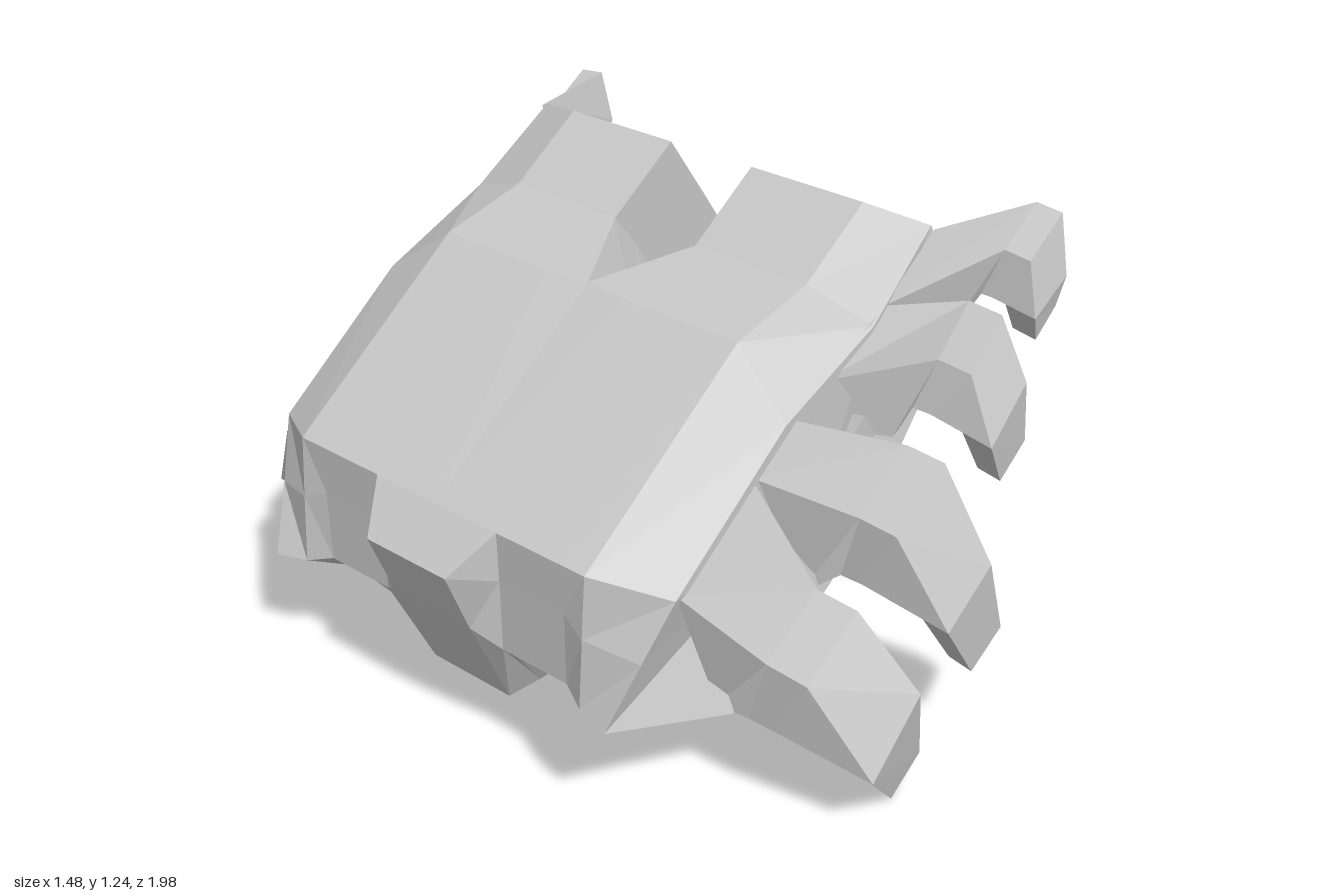
import * as THREE from 'three';

const grey = new THREE.MeshStandardMaterial({ color: 0xc8c8c8, flatShading: true });
grey.name = 'plain grey';

// Joins matching rings of points into a faceted skin and closes the last ring.
// side = -1 builds the mirror image across z = 0.
function loft(name, rings, side) {
  const pos = [];
  const same = (a, b) => a.every((v, i) => Math.abs(v - b[i]) < 1e-6);
  const face = (a, b, c) => {
    if (same(a, b) || same(b, c) || same(a, c)) return;
    for (const p of side > 0 ? [a, b, c] : [a, c, b]) pos.push(p[0], p[1], p[2] * side);
  };
  const n = rings[0].length;
  for (let r = 0; r + 1 < rings.length; r++) {
    const A = rings[r], B = rings[r + 1];
    for (let j = 0; j < n; j++) {
      const k = (j + 1) % n;
      face(A[j], A[k], B[j]);
      face(A[k], B[k], B[j]);
    }
  }
  const last = rings[rings.length - 1];
  const mid = [0, 1, 2].map(i => last.reduce((s, p) => s + p[i], 0) / n);
  last.forEach((p, j) => face(p, last[(j + 1) % n], mid));
  const geo = new THREE.BufferGeometry();
  geo.setAttribute('position', new THREE.Float32BufferAttribute(pos, 3));
  geo.computeVertexNormals();
  const mesh = new THREE.Mesh(geo, grey);
  mesh.name = name;
  return mesh;
}

// Side outline of the shell, from the low top edge down, along the belly and back over the top
const OUTLINE = [
  [-0.64, 0.69], [-0.635, 0.56], [-0.63, 0.37], [-0.48, 0.265], [-0.17, 0.32], [-0.06, 0.39], [0.06, 0.49],
  [0.22, 0.6], [0.42, 0.76], [0.59, 0.88], [0.475, 1.04], [0.33, 1.235], [0.12, 1.1], [-0.13, 1.05],
];
// A point may carry its own depth as a third number
const slice = (z, ...edits) => {
  const e = Object.assign({}, ...edits);
  return OUTLINE.map((p, i) => {
    const q = e[i] || p;
    return [q[0], q[1], q[2] ?? z];
  });
};

// Variations of the outline
const KEEL = { 1: [-0.74, 0.59], 2: [-0.67, 0.42], 3: [-0.55, 0.16], 4: [-0.2, 0.17], 5: [-0.1, 0.24], 6: [0, 0.36], 7: [0.13, 0.46] };
const KEEL_SIDE = { 3: [-0.51, 0.22], 4: [-0.18, 0.26], 5: [-0.08, 0.33], 6: [0.03, 0.44], 7: [0.18, 0.55] };
const NOTCH_FLOOR = { 8: [0.3, 0.58], 9: [0.33, 0.6], 10: [0.25, 0.68], 11: [0.15, 0.78], 12: [0.05, 0.88], 13: [-0.12, 1.052] };
const NOTCH_EDGE = { 8: [0.36, 0.68], 9: [0.4, 0.72], 10: [0.3, 0.86], 11: [0.2, 1.0] };
const SLOT_SIDE = { 8: [0.42, 0.77], 9: [0.45, 0.89] };
const SLOT_BACK = { 8: [0.45, 0.77], 9: [0.41, 0.85] };
const CORNER = { 1: [-0.65, 0.53], 2: [-0.66, 0.35], 3: [-0.44, 0.275] };
const FLANK = {
  0: [-0.54, 0.65], 1: [-0.605, 0.5, 0.58], 2: [-0.68, 0.34, 0.54], 3: [-0.38, 0.28, 0.66], 4: [-0.15, 0.37, 0.66],
  5: [-0.02, 0.45, 0.66], 6: [0.08, 0.54, 0.66], 7: [0.25, 0.66, 0.64], 8: [0.42, 0.8, 0.62], 9: [0.49, 0.93],
  10: [0.45, 1.06], 11: [0.39, 1.2, 0.6], 12: [0.15, 1.04], 13: [-0.17, 0.92],
};
const SHELL = [
  slice(0, KEEL, NOTCH_FLOOR),
  slice(0.125, KEEL, NOTCH_EDGE),
  slice(0.125, KEEL),
  slice(0.19, KEEL_SIDE),
  slice(0.235),
  slice(0.235, SLOT_SIDE),
  slice(0.305, SLOT_BACK),
  slice(0.385, SLOT_BACK),
  slice(0.45, SLOT_SIDE, CORNER),
  slice(0.45, CORNER),
  slice(0.62, FLANK),
];

// Legs: each entry holds a left and a right point (x, y); z lists the knee, shin, elbow and tip depths
const LEGS = [
  { root: [[-0.53, 0.655], [-0.28, 0.835]], base: [[-0.38, 0.285], [-0.19, 0.38]], knee: [[-0.37, 0.45], [-0.19, 0.555]],
    low: [[-0.37, 0.28], [-0.18, 0.46]], tip: [[-0.1, 0.0], [0.01, 0.07]], z: [0.74, 0.85, 0.99, 0.92] },
  { root: [[-0.28, 0.835], [-0.15, 0.925]], base: [[-0.08, 0.43], [0.13, 0.58]], knee: [[-0.04, 0.67], [0.14, 0.78]],
    low: [[-0.04, 0.5], [0.14, 0.62]], tip: [[0.18, 0.22], [0.3, 0.285]], z: [0.74, 0.84, 0.96, 0.94] },
  { root: [[-0.03, 0.97], [0.2, 1.07]], base: [[0.22, 0.66], [0.42, 0.82]], knee: [[0.34, 0.9], [0.455, 1.01]],
    low: [[0.31, 0.77], [0.455, 0.91]], tip: [[0.44, 0.58], [0.54, 0.65]], z: [0.68, 0.77, 0.84, 0.82] },
  { root: [[0.2, 1.07], [0.385, 1.195]], base: [[0.43, 0.86], [0.48, 0.94]], knee: [[0.58, 1.1], [0.71, 1.18]],
    low: [[0.56, 0.98], [0.71, 1.05]], tip: [[0.63, 0.87], [0.71, 0.93]], z: [0.69, 0.76, 0.79, 0.77] },
];

function legRings({ root, base, knee, low, tip, z }) {
  const mix = (a, b, t) => a.map((p, i) => p.map((v, k) => v + (b[i][k] - v) * t));
  const move = (a, dx, dy) => a.map(p => [p[0] + dx, p[1] + dy]);
  // One four-cornered section: outer pair and inner pair
  const ring = (out, zo, inn, zi) => [[...out[0], zo], [...inn[0], zi], [...inn[1], zi], [...out[1], zo]];
  const elbow = mix(low, tip, 0.27);
  return [
    ring(root, 0.612, base, 0.615),
    ring(knee, z[0], low, z[0] - 0.04),
    ring(move(knee, 0, -0.008), z[1], low, z[1] - 0.08),
    ring(elbow, z[2], move(elbow, 0.005, 0.02), z[2] - 0.09),
    ring(tip, z[3], move(tip, 0.01, 0.005), z[3] - 0.07),
  ];
}

export function createModel() {
  const group = new THREE.Group();
  group.name = 'clawedShell';
  const body = new THREE.Group();
  body.name = 'shellWithLegs';
  for (const [side, label] of [[1, 'front'], [-1, 'back']]) {
    body.add(loft(label + 'Shell', SHELL, side));
    LEGS.forEach((leg, i) => body.add(loft(`${label}Leg${i + 1}`, legRings(leg), side)));
  }
  // The whole form sits slightly turned
  body.rotation.y = -0.025;
  group.add(body);
  return group;
}
